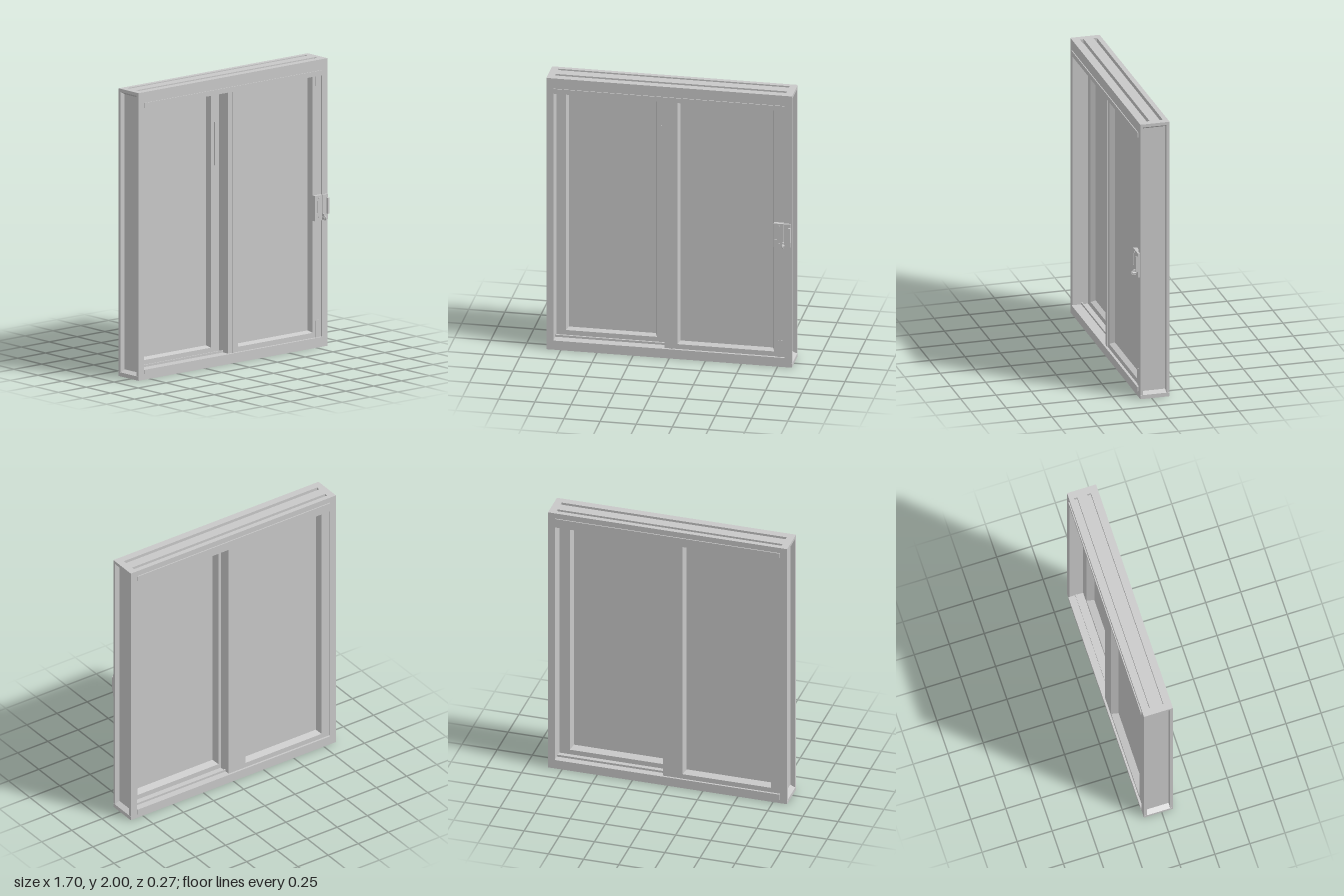
import * as THREE from 'three';

const FRONT = 0.08, BACK = -0.127;          // frame depth
const HALF = 0.85, OPEN = 0.8;              // outer and opening half widths
const SILL = 0.07, HEAD = 1.89;             // opening bottom and top

export function createModel() {
  const model = new THREE.Group();
  model.name = 'slidingWindow';
  const grey = new THREE.MeshStandardMaterial({ color: 0xc8c8c8, side: THREE.DoubleSide });
  grey.name = 'light grey';

  const add = (geo, name, parent = model) => {
    const mesh = new THREE.Mesh(geo, grey);
    mesh.name = name;
    parent.add(mesh);
    return mesh;
  };
  // Box given by its limits
  const box = (name, x0, x1, y0, y1, z0, z1, parent) => {
    const geo = new THREE.BoxGeometry(x1 - x0, y1 - y0, z1 - z0);
    geo.translate((x0 + x1) / 2, (y0 + y1) / 2, (z0 + z1) / 2);
    return add(geo, name, parent);
  };
  const polygon = pts => new THREE.Shape(pts.map(p => new THREE.Vector2(...p)));
  const rect = (x0, x1, y0, y1) => polygon([[x0, y0], [x1, y0], [x1, y1], [x0, y1]]);
  const extrude = (shape, depth) =>
    new THREE.ExtrudeGeometry(shape, { depth, bevelEnabled: false });

  // Jambs: channels open to the outside, with sloped closed ends
  for (const s of [-1, 1]) {
    const jamb = new THREE.Group();
    jamb.name = s > 0 ? 'leftJamb' : 'rightJamb';
    model.add(jamb);
    const section = [[OPEN, FRONT], [HALF, FRONT], [HALF, 0.06], [0.815, 0.06],
      [0.815, -0.105], [HALF, -0.105], [HALF, BACK], [OPEN, BACK]];
    const channel = extrude(polygon(section.map(([x, z]) => [s * x, -z])), 1.95);
    channel.rotateX(-Math.PI / 2).translate(0, 0.03, 0);
    add(channel, 'jambChannel', jamb);
    const ends = [
      [[OPEN, 2], [HALF, 2], [HALF, 1.978], [0.815, 1.958], [OPEN, 1.958]],
      [[OPEN, 0], [HALF, 0], [HALF, 0.028], [0.815, 0.045], [OPEN, 0.045]]];
    for (const pts of ends) {
      const cap = extrude(polygon(pts.map(([x, y]) => [s * x, y])), FRONT - BACK);
      cap.translate(0, 0, BACK);
      add(cap, 'jambEnd', jamb);
    }
  }

  // Head and sill: solid rails with two long grooves on the outer face
  const grooves = [[0.027, 0], [-0.07, -0.093]];
  const rail = (name, outer, inner) => {
    const bed = outer + Math.sign(inner - outer) * 0.03;
    const pts = [[FRONT, inner], [FRONT, outer]];
    for (const [a, b] of grooves) pts.push([a, outer], [a, bed], [b, bed], [b, outer]);
    pts.push([BACK, outer], [BACK, inner]);
    const geo = extrude(polygon(pts.map(([z, y]) => [-z, y])), 2 * OPEN);
    geo.rotateY(Math.PI / 2).translate(-OPEN, 0, 0);
    add(geo, name);
  };
  rail('head', 2, HEAD);
  rail('sill', 0, SILL);

  // Thin trim strips on the front and back faces
  for (const [y0, y1] of [[HEAD, 1.925], [0.04, SILL]])
    box('frontTrim', -OPEN, OPEN, y0, y1, FRONT, FRONT + 0.006);
  for (const [y0, y1] of [[1.925, 1.96], [0.03, SILL]])
    box('backTrim', -OPEN, OPEN, y0, y1, BACK - 0.007, BACK);

  // Track ribs in the empty halves of the two tracks
  box('frontSillTrack', -OPEN, 0, SILL, SILL + 0.015, 0.01, 0.018);
  box('frontHeadTrack', -OPEN, 0, HEAD - 0.015, HEAD, 0.01, 0.018);
  box('backSillTrack', 0, OPEN, SILL, SILL + 0.015, -0.085, -0.077);
  box('backHeadTrack', 0, OPEN, HEAD - 0.015, HEAD, -0.085, -0.077);

  // Sloped glazing bead from an opening at z0 down to the glass at z1
  const bead = (x0, x1, y0, y1, z0, z1) => {
    const t = 0.014, pos = [], index = [];
    const corners = [[x0, y0, 1, 1], [x1, y0, -1, 1], [x1, y1, -1, -1], [x0, y1, 1, -1]];
    corners.forEach((a, i) => {
      const b = corners[(i + 1) % 4], k = i * 4;
      pos.push(a[0], a[1], z0, b[0], b[1], z0,
        b[0] + b[2] * t, b[1] + b[3] * t, z1, a[0] + a[2] * t, a[1] + a[3] * t, z1);
      index.push(...(z0 > z1 ? [0, 1, 2, 0, 2, 3] : [0, 2, 1, 0, 3, 2]).map(n => n + k));
    });
    const geo = new THREE.BufferGeometry();
    geo.setAttribute('position', new THREE.Float32BufferAttribute(pos, 3));
    geo.setIndex(index);
    geo.computeVertexNormals();
    return geo;
  };

  // Sash: stiles and rails as one ring, beads on both sides, one pane
  const sash = (name, x0, x1, gx0, gx1, z0, z1) => {
    const group = new THREE.Group();
    group.name = name;
    model.add(group);
    const gy0 = 0.105, gy1 = 1.905, mid = (z0 + z1) / 2 + 0.008;
    const ring = rect(x0, x1, 0.05, 1.94);
    ring.holes.push(rect(gx0, gx1, gy0, gy1));
    const geo = extrude(ring, z1 - z0);
    geo.translate(0, 0, z0);
    add(geo, 'sashFrame', group);
    box('glass', gx0, gx1, gy0, gy1, mid - 0.005, mid + 0.005, group);
    add(bead(gx0, gx1, gy0, gy1, z1, mid + 0.005), 'frontBead', group);
    add(bead(gx0, gx1, gy0, gy1, z0, mid - 0.005), 'backBead', group);
    return group;
  };
  const frontSash = sash('frontSash', -0.035, OPEN, 0.055, 0.725, -0.028, 0.068);
  const backSash = sash('backSash', -OPEN, 0.035, -0.735, -0.105, -0.12, -0.03);

  // Meeting stile ribs, finger pull and corner guides
  box('meetingRib', 0, 0.022, SILL, HEAD, 0.068, 0.074, frontSash);
  box('fingerPull', -0.075, -0.07, 1.37, 1.67, -0.03, -0.02, backSash);
  for (const [y0, y1] of [[1.82, HEAD], [SILL, 0.19]])
    box('cornerGuide', 0.75, 0.782, y0, y1, 0.068, 0.073, frontSash);

  // Lock: sash plate and jamb keeper with slots, screws and a turning peg
  const lock = new THREE.Group();
  lock.name = 'lock';
  model.add(lock);
  const plate = (name, x0, x1, sx0, sx1, z0, z1) => {
    const shape = rect(x0, x1, 0.885, 1.06);
    shape.holes.push(rect(sx0, sx1, 0.94, 1.025));
    const geo = extrude(shape, z1 - z0);
    geo.translate(0, 0, z0);
    add(geo, name, lock);
  };
  plate('lockPlate', 0.725, 0.792, 0.732, 0.748, 0.068, 0.095);
  plate('keeperPlate', 0.795, 0.842, 0.825, 0.837, 0.08, 0.095);
  box('lockRidge', 0.728, 0.752, 0.93, 1.035, 0.068, 0.09, lock);
  box('keeperRidge', 0.828, 0.842, 0.925, 1.035, 0.095, 0.108, lock);
  const cylinder = (name, x, y, z0, z1, r) => {
    const geo = new THREE.CylinderGeometry(r, r, z1 - z0, 16);
    geo.rotateX(Math.PI / 2).translate(x, y, (z0 + z1) / 2);
    add(geo, name, lock);
  };
  for (const y of [0.91, 1.04]) cylinder('screw', 0.763, y, 0.09, 0.099, 0.008);
  cylinder('peg', 0.793, 0.903, 0.09, 0.122, 0.009);
  box('pegLever', 0.788, 0.798, 0.89, 0.93, 0.095, 0.112, lock);
  const eye = new THREE.TorusGeometry(0.012, 0.005, 8, 20);
  eye.rotateY(Math.PI / 2).translate(0.793, 0.903, 0.115);
  add(eye, 'pegEye', lock);

  return model;
}
